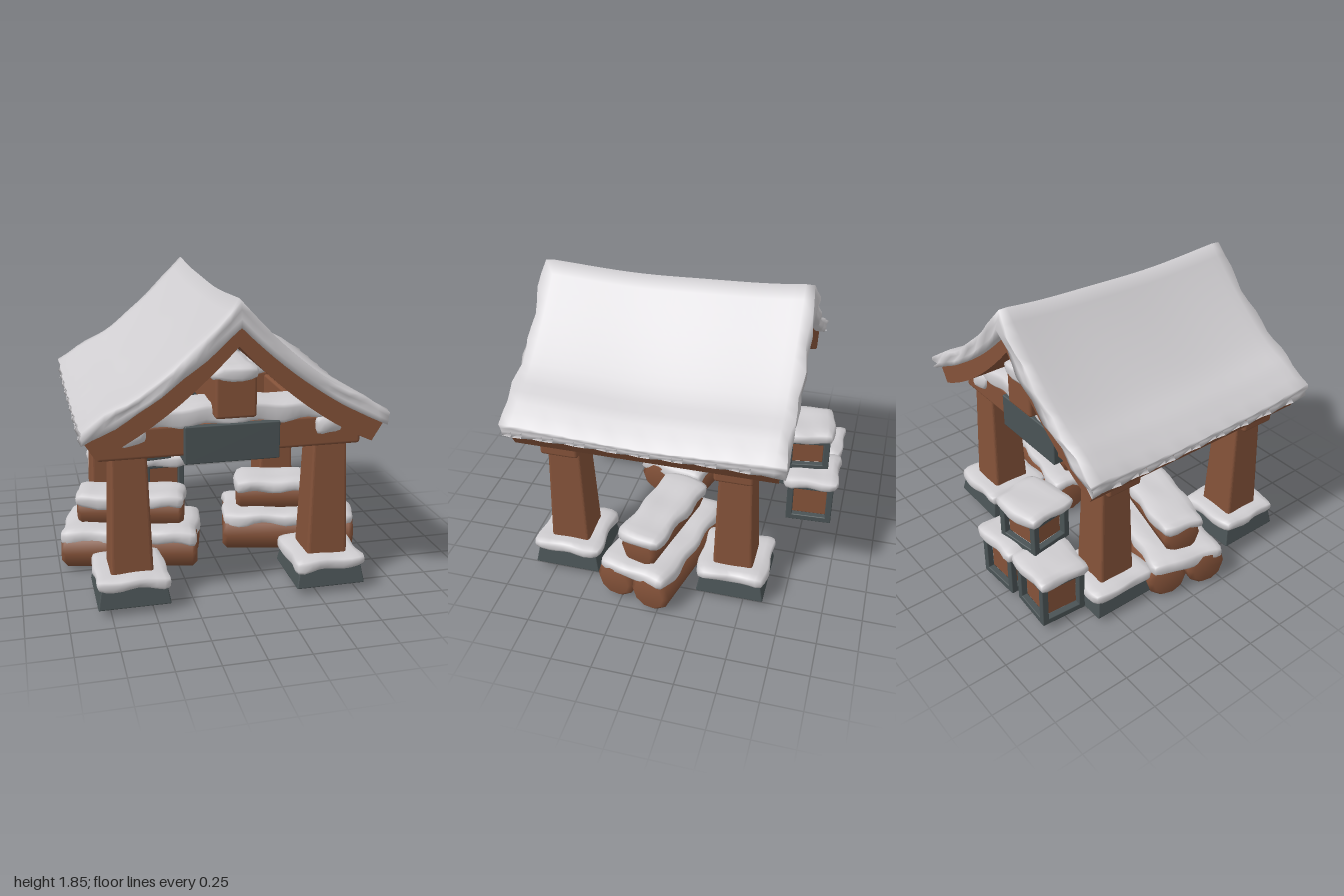
import * as THREE from 'three';
import { mergeVertices } from 'three/addons/utils/BufferGeometryUtils.js';
import { RoundedBoxGeometry } from 'three/addons/geometries/RoundedBoxGeometry.js';

const material = (name, color) => Object.assign(new THREE.MeshStandardMaterial({ color }), { name });

export function createModel() {
  const model = new THREE.Group();
  model.name = 'snowyShelter';
  const wood = material('wood', 0x845239);
  const slate = material('slate', 0x4a5355);
  const snow = material('snow', 0xcfcdd0);

  const add = (name, geo, mat, x, y, z, parent = model) => {
    const mesh = new THREE.Mesh(geo, mat);
    mesh.name = name;
    mesh.position.set(x, y, z);
    parent.add(mesh);
    return mesh;
  };

  // moves every vertex of a geometry by a rule
  const warp = (geo, rule) => {
    const p = geo.attributes.position, v = new THREE.Vector3();
    for (let i = 0; i < p.count; i++) {
      v.fromBufferAttribute(p, i);
      rule(v);
      p.setXYZ(i, v.x, v.y, v.z);
    }
    geo.computeVertexNormals();
    return geo;
  };

  // box with softened edges, narrowing towards the top
  const block = (name, mat, [w, h, d], [x, y, z], taper = 1, bevel = 0.015, parent = model) => {
    const geo = new RoundedBoxGeometry(w, h, d, 2, bevel);
    if (taper !== 1) {
      warp(geo, v => {
        const s = THREE.MathUtils.lerp(1, taper, v.y / h + 0.5);
        v.x *= s;
        v.z *= s;
      });
    }
    return add(name, geo, mat, x, y, z, parent);
  };

  const weld = geo => {
    geo.deleteAttribute('normal');
    geo.deleteAttribute('uv');
    return mergeVertices(geo);
  };
  const wave = (a, b, seed) => Math.sin(a * 22 + seed) * 0.6 + Math.sin(b * 27 + a * 9 + seed * 2.3) * 0.4;

  // lumpy layer of snow with a ragged lower edge
  let seed = 0;
  const snowCap = (name, [w, h, d], [x, y, z], parent = model, mound = 0) => {
    const k = ++seed, half = new THREE.Vector3(w / 2, h / 2, d / 2), r = Math.min(w, h, d) * 0.46;
    const steps = s => Math.max(4, Math.round(s / 0.05));
    const geo = weld(new THREE.BoxGeometry(w, h, d, steps(w), 3, steps(d)));
    const inner = new THREE.Vector3(), lim = half.clone().subScalar(r), low = lim.clone().negate();
    warp(geo, v => {
      inner.copy(v).clamp(low, lim);
      v.sub(inner).setLength(r).add(inner);
      const n = wave(v.x, v.z, k), rim = Math.max(Math.abs(v.x) / half.x, Math.abs(v.z) / half.z);
      if (v.y < 0) v.y += n * h * 0.18;
      else v.y += mound * (1 - (v.x / half.x) ** 2) + n * 0.006;
      if (rim > 0.8) {
        v.x += 0.012 * wave(v.z, v.y, k + 1) * Math.sign(v.x);
        v.z += 0.012 * wave(v.x, v.y, k + 2) * Math.sign(v.z);
      }
    });
    return add(name, geo, snow, x, y, z, parent);
  };

  // curved gable roof layer; top and bottom are [half width, apex height, eave height]
  const CX = -0.025, CZ = 0.125;
  const roofLayer = (geo, length, top, bottom, rough) => warp(geo, v => {
    const s = Math.abs(v.x) * 2, t = v.y + 0.5, a = 1 - s, k = v.z * 2;
    const height = ([, apex, eave]) => eave + (apex - eave) * (0.58 * a + 0.42 * a * a);
    const end = Math.abs(v.z) > 0.49, eave = s > 0.98;
    const ragged = end || eave ? rough * wave(v.x * 2, v.z * 2, t * 5) : 0;
    // snow is heaped near the eaves and sags along the middle
    const heap = 2.2 * Math.exp(-(((s - 0.84) / 0.13) ** 2)) + 2.8 * (k * k - 0.75) - k * a - (end ? 0.6 : 0);
    const y = THREE.MathUtils.lerp(height(bottom), height(top), t)
      + rough * (t * heap + 0.5 * wave(v.x * 0.4, v.z * 0.45, 4));
    v.set(
      v.x * 2 * (THREE.MathUtils.lerp(bottom[0], top[0], t) + (eave ? ragged : 0)),
      y,
      v.z * (length + (end ? ragged * 2.5 : 0)),
    );
  });
  add('roofBoards', roofLayer(new THREE.BoxGeometry(1, 1, 1, 20, 1, 1), 1.61,
    [0.86, 1.71, 1.1], [0.79, 1.575, 0.985], 0), wood, CX, 0, CZ);
  add('roofSnow', roofLayer(weld(new THREE.BoxGeometry(1, 1, 1, 28, 3, 26)), 1.7,
    [0.865, 1.845, 1.155], [0.875, 1.69, 1.085], 0.014), snow, CX, 0, CZ);

  // posts on slate footings, joined by side beams
  const postX = [-0.615, 0.58], postZ = [0.66, -0.415];
  for (const x of postX) {
    for (const z of postZ) {
      block('footing', slate, [0.43, 0.15, 0.43], [x, 0.125, z], 0.87, 0.008);
      snowCap('footingSnow', [0.44, 0.085, 0.44], [x, 0.19, z]);
      block('post', wood, [0.255, 0.77, 0.255], [x, 0.575, z], 0.8, 0.02);
    }
    block('sideBeam', wood, [0.2, 0.15, 1.06], [x, 1.01, CZ]);
  }

  // cross beams with slate bands and snow
  for (const z of postZ) {
    const out = Math.sign(z - CZ);
    block('crossBeam', wood, [1.56, 0.19, 0.24], [-0.02, 1.015, z], 1, 0.02);
    block('beamBand', slate, [0.56, 0.225, 0.3], [-0.025, 0.99, z], 1, 0.008);
    snowCap('beamSnow', [1.28, 0.1, 0.27], [-0.02, 1.135, z], model, 0.035);
    for (const x of [-0.6, 0.56]) snowCap('snowPatch', [0.16, 0.11, 0.08], [x, 1.055, z + out * 0.11]);
  }

  // long beam under the ridge
  block('ridgeBeam', wood, [0.24, 0.25, 1.48], [-0.02, 1.275, CZ], 1, 0.018);
  snowCap('ridgeBeamSnow', [0.26, 0.085, 1.52], [-0.02, 1.4, CZ], model, 0.01);

  // log piles
  const log = (parent, length, r, [x, y, z], turn) => {
    const h = length / 2, c = 0.03;
    const profile = [[0, -h], [r - c, -h], [r, -h + c], [r, h - c], [r - c, h], [0, h]];
    const geo = new THREE.LatheGeometry(profile.map(p => new THREE.Vector2(...p)), 10);
    const mesh = add('log', geo, wood, x, y, z, parent);
    mesh.rotation.set(0, turn, Math.PI / 2);
  };
  const pile = (name, x, z, turn, splay) => {
    const g = new THREE.Group();
    g.name = name;
    g.position.set(x, 0, z);
    g.rotation.y = turn;
    model.add(g);
    log(g, 0.86, 0.132, [0, 0.14, 0.122], splay);
    log(g, 0.86, 0.132, [0, 0.132, -0.122], -splay);
    snowCap('lowerLogSnow', [0.87, 0.1, 0.48], [0, 0.238, 0], g);
    log(g, 0.68, 0.125, [0, 0.36, 0], 0);
    snowCap('upperLogSnow', [0.7, 0.1, 0.3], [0, 0.44, 0], g);
  };
  pile('rightLogPile', 0.54, 0.075, -0.23, 0);
  pile('leftLogPile', -0.52, 0.11, -0.25, 0.04);

  // framed crates with recessed panels
  const crate = ([w, h, d], [x, y, z], turn) => {
    const g = new THREE.Group(), b = 0.042;
    g.name = 'crate';
    g.position.set(x, y, z);
    g.rotation.y = turn;
    model.add(g);
    block('cratePanels', wood, [w - 0.08, h - 0.08, d - 0.08], [0, 0, 0], 1, 0.005, g);
    for (const i of [-1, 1]) {
      for (const j of [-1, 1]) {
        const px = i * (w - b) / 2, pz = j * (d - b) / 2;
        block('cratePost', slate, [b, h, b], [px, 0, pz], 1, 0.006, g);
        block('crateRail', slate, [w, b, b], [0, i * (h - b) / 2, pz], 1, 0.006, g);
        block('crateRail', slate, [b, b, d], [px, j * (h - b) / 2, 0], 1, 0.006, g);
      }
    }
    snowCap('crateSnow', [w + 0.06, 0.09, d + 0.06], [0, h / 2 + 0.01, 0], g);
  };
  crate([0.3, 0.31, 0.31], [-0.18, 0.215, -0.785], 0.05);
  crate([0.3, 0.31, 0.3], [-0.54, 0.215, -0.775], -0.06);
  crate([0.31, 0.25, 0.29], [-0.3, 0.535, -0.72], 0.16);

  return model;
}
